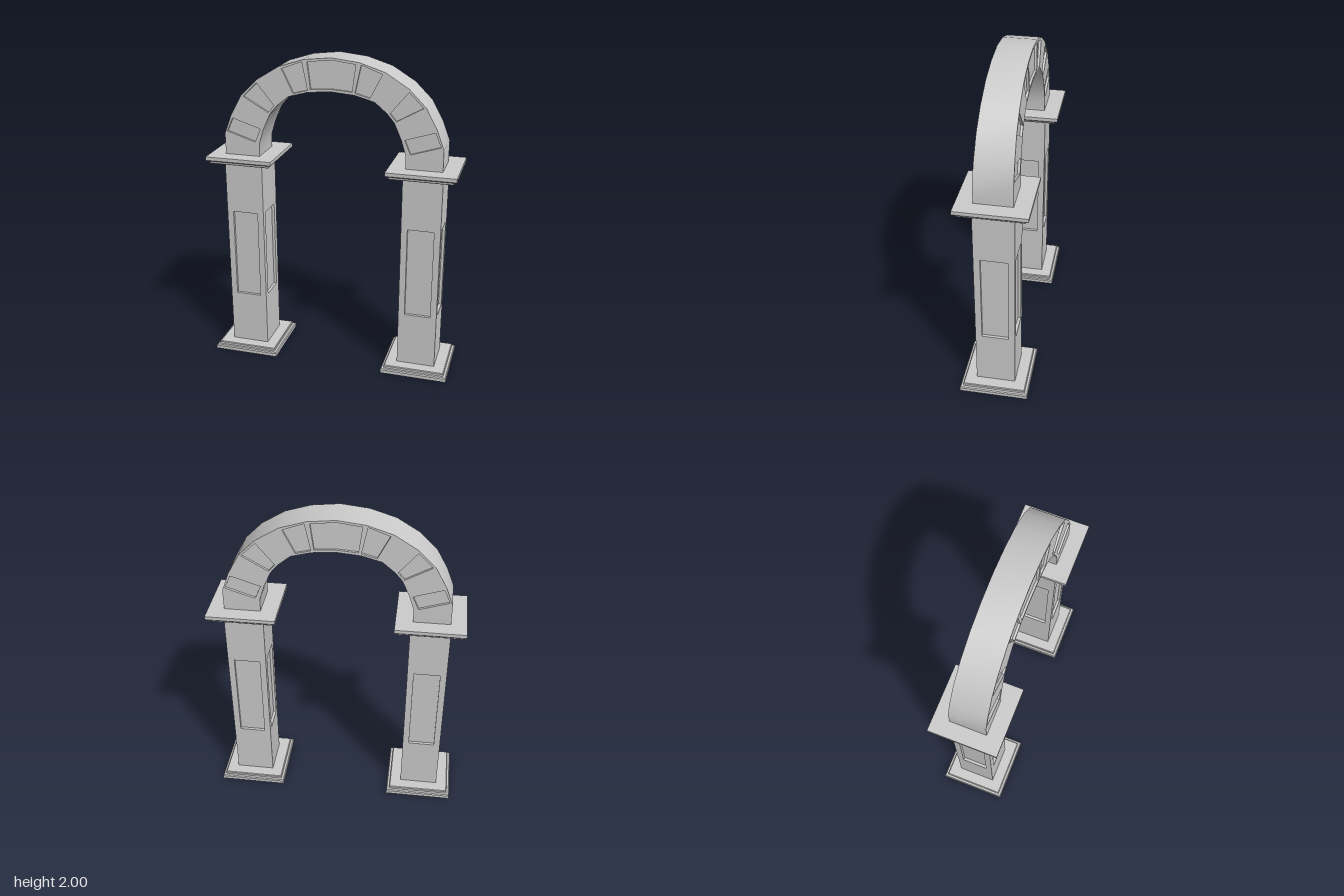
import * as THREE from 'three';
import { toCreasedNormals } from 'three/addons/utils/BufferGeometryUtils.js';

const material = new THREE.MeshStandardMaterial({ color: 0xcccccc });
const COLUMN_X = 0.568;
const HALF = 0.122; // half width of a column

function part(name, geometry, parent) {
  const mesh = new THREE.Mesh(geometry, material);
  mesh.name = name;
  parent.add(mesh);
  return mesh;
}

const toVectors = (pts) => pts.map(([x, y]) => new THREE.Vector2(x, y));
const mirrorX = (pts) => pts.map(([x, y]) => [-x, y]);
const rect = (w, y0, y1) => [[-w, y0], [w, y0], [w, y1], [-w, y1]];

function extrude(outline, holes, depth) {
  const shape = new THREE.Shape(toVectors(outline));
  holes.forEach((h) => shape.holes.push(new THREE.Path(toVectors(h))));
  return new THREE.ExtrudeGeometry(shape, { depth, bevelEnabled: false });
}

// Square moulding: a four-sided lathe of [half width, y] points
function moulding(profile) {
  const pts = toVectors(profile.map(([r, y]) => [r * Math.SQRT2, y]));
  const geometry = new THREE.LatheGeometry(pts, 4, Math.PI / 4).toNonIndexed();
  geometry.computeVertexNormals();
  return geometry;
}

function createColumn(name, x) {
  const column = new THREE.Group();
  column.name = name;
  column.position.x = x;

  part('base', moulding([[0, 0], [0.213, 0], [0.213, 0.022], [0.208, 0.029],
    [0.194, 0.029], [0.194, 0.043], [0.19, 0.048], [0, 0.048]]), column);
  part('capital', moulding([[0, 1.318], [0.19, 1.318], [0.194, 1.322], [0.194, 1.337],
    [0.208, 1.337], [0.213, 1.343], [0.213, 1.365], [0, 1.365]]), column);

  // Core whose faces form the floors of the recessed panels
  const recess = 0.018, y0 = 0.04, y1 = 1.325;
  const core = HALF - recess;
  part('shaftCore', new THREE.BoxGeometry(core * 2, y1 - y0, core * 2), column)
    .position.y = (y0 + y1) / 2;

  // Four framed sides around the core
  for (let i = 0; i < 4; i++) {
    const w = i % 2 ? core : HALF;
    const geometry = extrude(rect(w, y0, y1), [rect(0.082, 0.397, 0.98)], recess);
    geometry.translate(0, 0, core);
    geometry.rotateY(i * Math.PI / 2);
    part('shaftSide', geometry, column);
  }
  return column;
}

// The arch gets slightly thinner towards its crown
function taper(geometry) {
  const p = geometry.attributes.position;
  for (let i = 0; i < p.count; i++) {
    const t = Math.max(0, (p.getY(i) - 1.5) / 0.5);
    p.setZ(i, p.getZ(i) * (1 - 0.09 * t));
  }
  geometry.computeVertexNormals();
  return toCreasedNormals(geometry, 0.6);
}

function createArch() {
  const arch = new THREE.Group();
  arch.name = 'arch';
  const depth = 0.114, recess = 0.015;

  // Half outlines from springing to crown
  const outer = [[0.684, 1.36], [0.684, 1.497], [0.64, 1.614], [0.571, 1.74],
    [0.466, 1.845], [0.325, 1.932], [0.169, 1.981]];
  const inner = [[0.46, 1.36], [0.458, 1.45], [0.43, 1.54], [0.385, 1.64],
    [0.34, 1.693], [0.265, 1.755], [0.143, 1.788]];
  const span = (half, crown) => [...half, [0, crown], ...mirrorX(half).reverse()];
  const outline = [...span(outer, 2), ...span(inner, 1.8).reverse()];

  // Sunken panels on the arch stones
  const sidePanels = [
    [[0.63, 1.598], [0.45, 1.54], [0.487, 1.455], [0.667, 1.513]],
    [[0.555, 1.738], [0.467, 1.825], [0.358, 1.693], [0.397, 1.648]],
    [[0.307, 1.92], [0.18, 1.967], [0.145, 1.8], [0.235, 1.776]],
  ];
  const keyPanel = [[-0.148, 1.968], [0, 1.986], [0.148, 1.968],
    [0.127, 1.806], [0, 1.815], [-0.127, 1.806]];
  const panels = [...sidePanels, ...sidePanels.map(mirrorX), keyPanel];

  const body = extrude(outline, panels, depth * 2);
  body.translate(0, 0, -depth);
  part('archBody', taper(body), arch);

  panels.forEach((panel) => {
    const floor = extrude(panel, [], (depth - recess) * 2);
    floor.translate(0, 0, recess - depth);
    part('archPanel', taper(floor), arch);
  });
  return arch;
}

export function createModel() {
  const model = new THREE.Group();
  model.name = 'archway';
  model.add(createColumn('leftColumn', COLUMN_X));
  model.add(createColumn('rightColumn', -COLUMN_X));
  model.add(createArch());
  return model;
}
